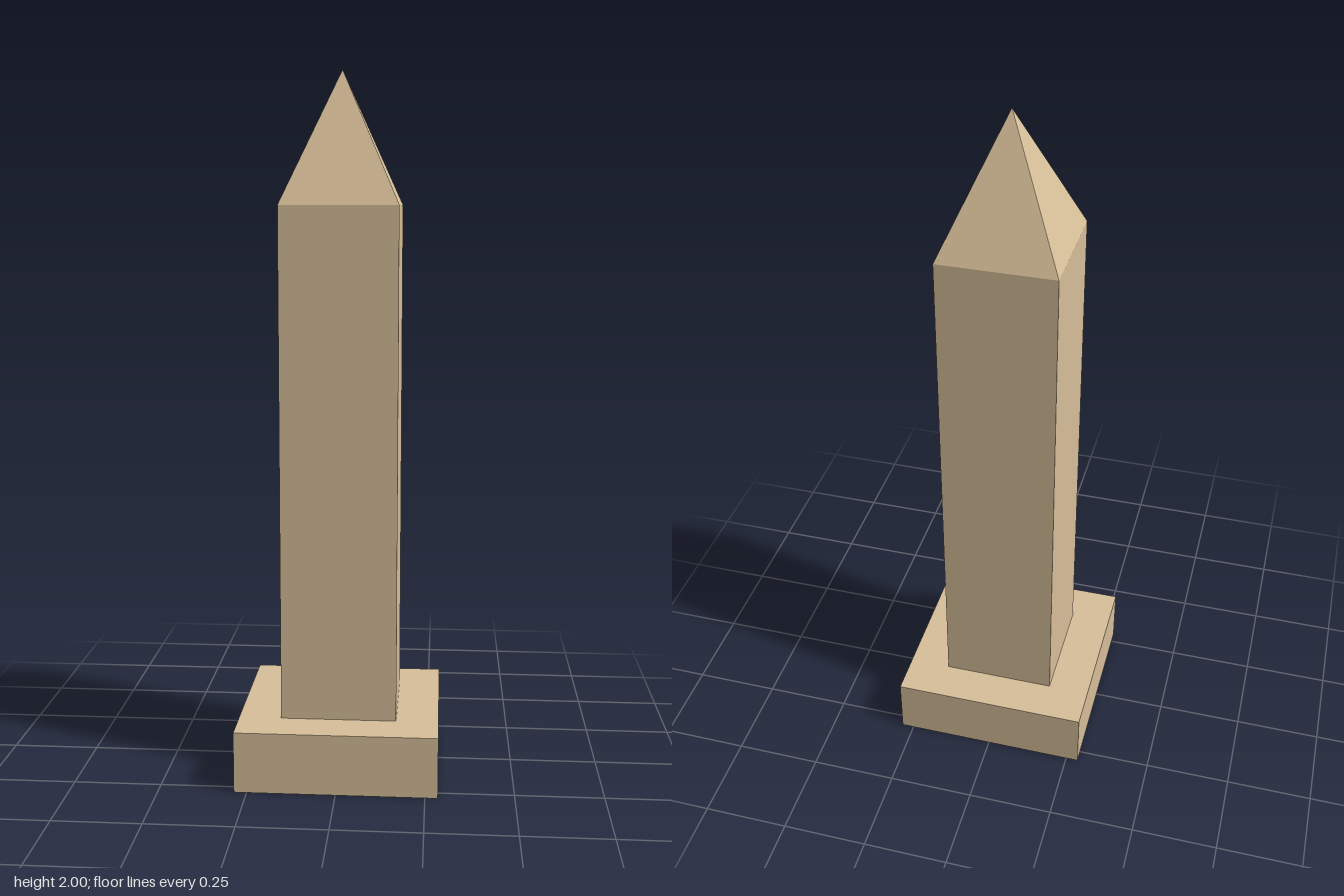
import * as THREE from 'three';

export function createModel() {
  const model = new THREE.Group();
  model.name = 'obelisk';
  const sandstone = new THREE.MeshStandardMaterial({ color: 0xd8c09a });
  sandstone.name = 'sandstone';

  const add = (name, geometry, y) => {
    const mesh = new THREE.Mesh(geometry, sandstone);
    mesh.name = name;
    mesh.position.y = y;
    model.add(mesh);
  };

  const baseWidth = 0.572, baseTop = 0.175;
  const shaftWidth = 0.33, shaftTop = 1.63, tip = 2;

  // Square plinth and straight shaft
  add('plinth', new THREE.BoxGeometry(baseWidth, baseTop, baseWidth), baseTop / 2);
  add('shaft', new THREE.BoxGeometry(shaftWidth, shaftTop - baseTop, shaftWidth), (shaftTop + baseTop) / 2);

  // Four-sided pointed cap, flush with the shaft, with flat faces
  const cap = new THREE.ConeGeometry(shaftWidth * Math.SQRT1_2, tip - shaftTop, 4, 1, true)
    .rotateY(Math.PI / 4)
    .toNonIndexed();
  cap.computeVertexNormals();
  add('pyramidCap', cap, (tip + shaftTop) / 2);

  return model;
}
